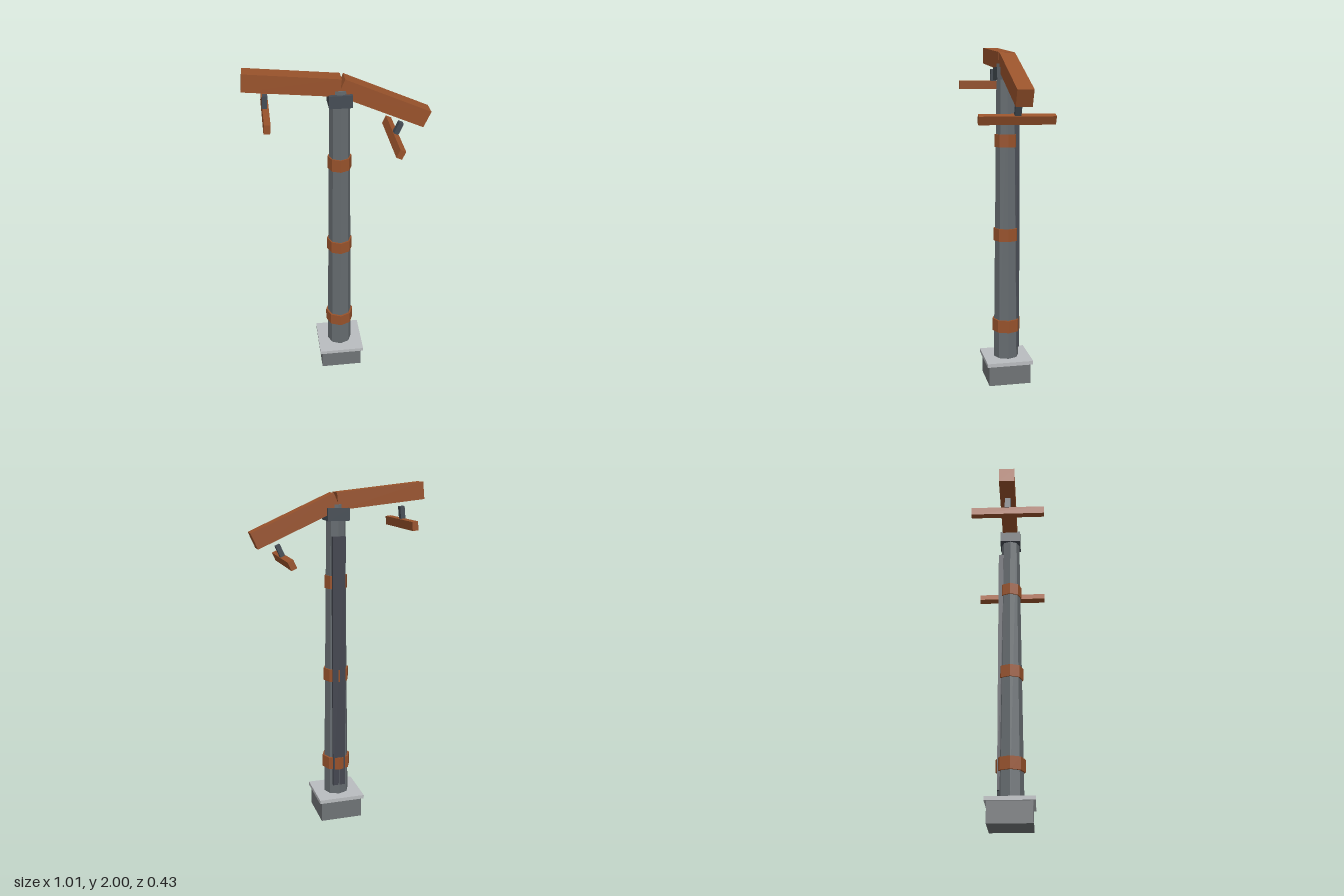
import * as THREE from 'three';

const mat = (name, color) => {
  const m = new THREE.MeshStandardMaterial({ color, flatShading: true });
  m.name = name;
  return m;
};

export function createModel() {
  const rust = mat('rust brown', 0x98522b);
  const steel = mat('steel grey', 0x656b6f);
  const dark = mat('dark slate', 0x454c54);
  const spineGrey = mat('spine grey', 0x43464f);
  const concrete = mat('concrete', 0x6f7375);
  const pale = mat('pale stone', 0xb9bcbf);

  const model = new THREE.Group();
  const CX = 0.0075; // post axis

  const add = (parent, name, geometry, material, x, y, z = 0) => {
    const mesh = new THREE.Mesh(geometry, material);
    mesh.name = name;
    mesh.position.set(x, y, z);
    parent.add(mesh);
    return mesh;
  };
  const box = (w, h, d) => new THREE.BoxGeometry(w, h, d);
  const octagon = (top, bottom, h) => new THREE.CylinderGeometry(top, bottom, h, 8);

  // Footing
  add(model, 'footing', box(0.25, 0.12, 0.25), concrete, CX, 0.06);
  add(model, 'footingCap', box(0.275, 0.022, 0.275), pale, CX, 0.131);

  // Tapered octagonal post and its collar
  add(model, 'post', octagon(0.055, 0.075, 1.74), steel, CX, 1.01);
  add(model, 'collar', box(0.126, 0.07, 0.126), dark, CX, 1.825);

  // Bands around the post
  for (const [y, r] of [[0.342, 0.084], [0.895, 0.0745], [1.445, 0.067]])
    add(model, 'band', octagon(r, r, 0.074), rust, CX, y);

  // Cable spine on the back
  add(model, 'spine', box(0.075, 1.505, 0.035), spineGrey, CX, 0.9525, -0.0555);

  // Two tilted arms, each with a stub and a crossbar hanging below
  const arms = [
    { side: 'right', tilt: -5.9, arm: [-0.246, 1.922], stub: [-0.388, 1.825], bar: [-0.387, 1.765] },
    { side: 'left', tilt: -23.9, arm: [0.246, 1.794], stub: [0.331, 1.63], bar: [0.308, 1.577] },
  ];
  for (const { side, tilt, arm, stub, bar } of arms) {
    const group = new THREE.Group();
    group.name = side + 'ArmAssembly';
    const parts = [
      add(group, side + 'Arm', box(0.512, 0.097, 0.09), rust, ...arm, -0.002),
      add(group, side + 'Stub', box(0.027, 0.07, 0.035), dark, ...stub),
      add(group, side + 'Crossbar', box(0.034, 0.05, 0.426), rust, ...bar),
    ];
    for (const p of parts) p.rotation.z = THREE.MathUtils.degToRad(tilt);
    model.add(group);
  }
  return model;
}
